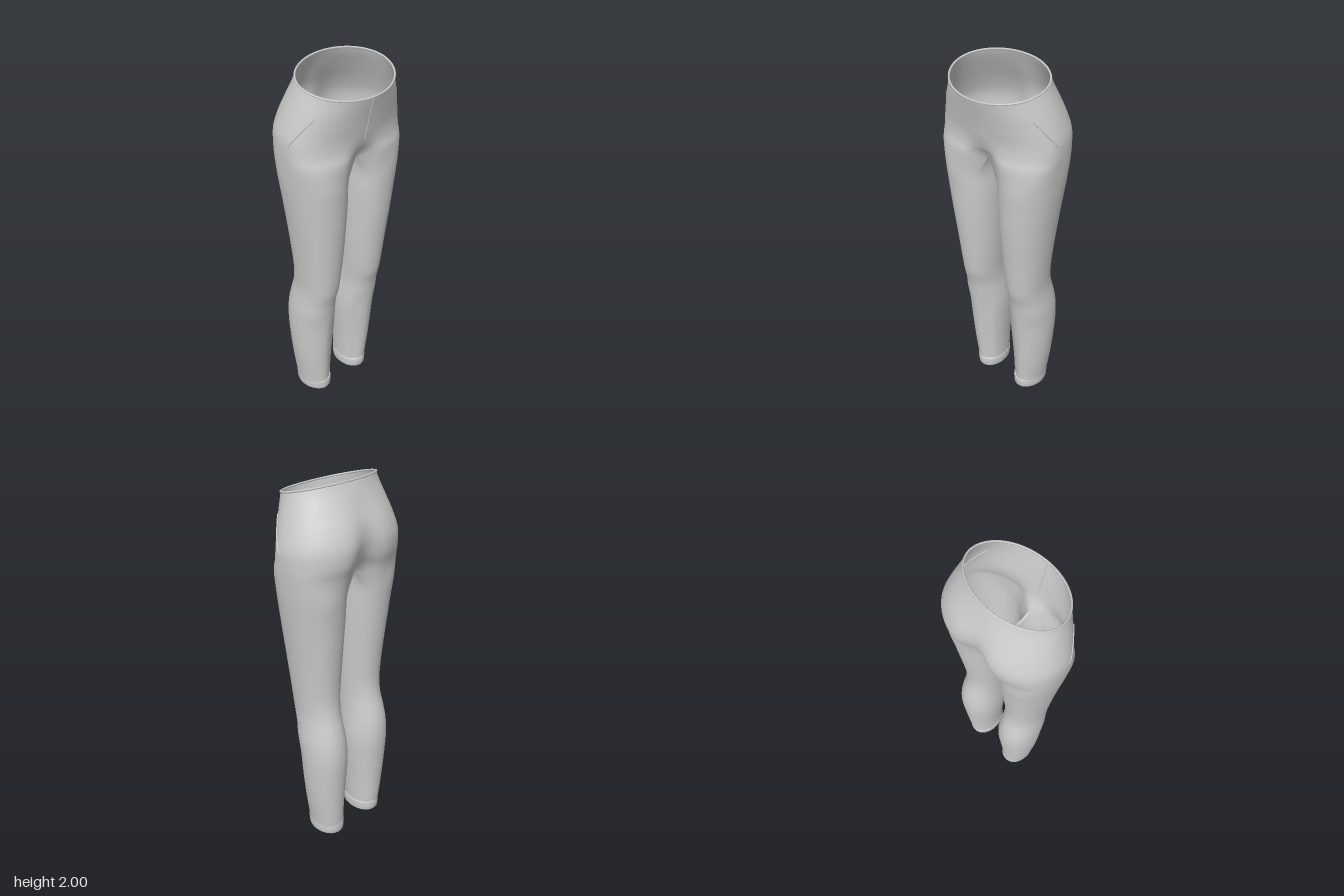
import * as THREE from 'three';
import { mergeVertices, mergeGeometries } from 'three/addons/utils/BufferGeometryUtils.js';

const material = new THREE.MeshStandardMaterial({ color: 0xcccccc, side: THREE.DoubleSide });
const OUTER = 40, INNER = 16, STEPS = 4; // columns outside, columns inside the leg, rows per section

// Leg sections: height, inner x, outer x, front z, back z
const LEG = [
  [0.01, 0.062, 0.22, 0.038, -0.177], [0.08, 0.06, 0.228, 0.042, -0.183],
  [0.22, 0.054, 0.246, 0.052, -0.19], [0.38, 0.042, 0.26, 0.064, -0.199],
  [0.52, 0.035, 0.266, 0.077, -0.205], [0.62, 0.04, 0.264, 0.088, -0.197],
  [0.70, 0.046, 0.256, 0.1, -0.18], [0.78, 0.046, 0.25, 0.121, -0.158],
  [0.87, 0.04, 0.254, 0.133, -0.146], [1.0, 0.03, 0.265, 0.146, -0.15],
  [1.2, 0.019, 0.286, 0.165, -0.165], [1.35, 0.011, 0.304, 0.174, -0.176],
  [1.46, 0.007, 0.317, 0.179, -0.186],
];

// Hip sections: front y, back y, half width, front z, back z, widest z, front dip, back cleft, squareness
const HIP = [
  [1.58, 1.57, 0.325, 0.19, -0.208, 0, 0.06, 0.07, 2.7],
  [1.63, 1.64, 0.328, 0.182, -0.232, 0, 0.02, 0.055, 2.4],
  [1.69, 1.72, 0.326, 0.182, -0.238, 0, 0, 0.038, 2.25],
  [1.76, 1.80, 0.307, 0.196, -0.217, 0.01, 0, 0.02, 2.15],
  [1.83, 1.89, 0.28, 0.212, -0.174, 0.025, 0, 0.006, 2.1],
  [1.88, 1.96, 0.259, 0.225, -0.143, 0.035, 0, 0, 2],
  [1.898, 1.995, 0.25, 0.229, -0.13, 0.04, 0, 0, 2],
];

const lerp = THREE.MathUtils.lerp;
const power = (v, n) => Math.sign(v) * Math.abs(v) ** (2 / n);

function legPoint([y, xi, xo, zf, zb], a) {
  const cz = (zf + zb) / 2, rz = (zf - zb) / 2;
  const n = a > 0 && a < Math.PI && y < 0.6 ? 1.85 : 2.1;
  return new THREE.Vector3((xi + xo) / 2 + (xo - xi) / 2 * power(Math.cos(a), n), y, cz + rz * power(Math.sin(a), n));
}

function hipPoint([yf, yb, w, zf, zb, c, dip, cleft, n], s) {
  const a = (0.5 - s) * Math.PI, front = a > 0;
  const x = s === 0 || s === 1 ? 0 : w * power(Math.cos(a), n);
  let z = c + (front ? zf - c : c - zb) * power(Math.sin(a), n);
  const y = lerp(yb, yf, (z - zb) / (zf - zb));
  if (front) z -= dip * Math.exp(-((x / 0.07) ** 2));
  else z += cleft * Math.exp(-((x / 0.075) ** 2));
  return new THREE.Vector3(x, y, z);
}

// Lengthwise curve from ankle to waist, s running front - outside - back
const SPREAD = 2.27;
const outerCurve = s => new THREE.CatmullRomCurve3([
  ...LEG.map(r => legPoint(r, lerp(SPREAD, -SPREAD, s))), ...HIP.map(r => hipPoint(r, s))]);

// Lengthwise curve on the inside of the leg, ending on the crotch seam
function innerCurve(s) {
  const top = hipPoint(HIP[0], 1).lerp(hipPoint(HIP[0], 0), s);
  top.y -= 0.02 * Math.sin(Math.PI * s);
  return new THREE.CatmullRomCurve3([
    ...LEG.map(r => legPoint(r, lerp(-SPREAD, SPREAD - 2 * Math.PI, s))), top]);
}

// Skin a list of columns of points; rows of a shorter column stop early
function skin(columns, closed, flip) {
  const pos = [], index = [], start = [];
  for (const col of columns) {
    start.push(pos.length / 3);
    for (const p of col) pos.push(flip ? -p.x : p.x, p.y, p.z);
  }
  const count = columns.length;
  for (let j = 0; j < (closed ? count : count - 1); j++) {
    const k = (j + 1) % count;
    const rows = Math.min(columns[j].length, columns[k].length) - 1;
    for (let r = 0; r < rows; r++) {
      const a = start[j] + r, b = start[k] + r, c = b + 1, d = a + 1;
      if (flip) index.push(a, c, b, a, d, c);
      else index.push(a, b, c, a, c, d);
    }
  }
  const g = new THREE.BufferGeometry();
  g.setAttribute('position', new THREE.Float32BufferAttribute(pos, 3));
  g.setIndex(index);
  return g;
}

function add(group, geometry, name) {
  const mesh = new THREE.Mesh(geometry, material);
  mesh.name = name;
  group.add(mesh);
}

const tube = (points, radius, closed = false) =>
  new THREE.TubeGeometry(new THREE.CatmullRomCurve3(points, closed), closed ? 96 : 20, radius, 6, closed);

export function createModel() {
  const group = new THREE.Group();
  group.name = 'trousers';
  const last = LEG.length + HIP.length - 1;
  const sample = curve => curve.getPoints((curve.points.length - 1) * STEPS)
    .map(p => p.setX(Math.max(0, p.x)));

  // Trouser body: both halves welded along the centre seam
  const columns = [];
  for (let j = 0; j <= OUTER; j++) columns.push(sample(outerCurve(j / OUTER)));
  for (let j = 1; j < INNER; j++) columns.push(sample(innerCurve(j / INNER)));
  const halves = [];
  for (const flip of [false, true]) {
    // outer shell is open at the centre, the inner thigh closes it below the crotch
    halves.push(skin(columns, true, flip));
  }
  // drop the faces that would bridge front and back: inner columns are short, so none exist above the crotch
  const body = mergeVertices(mergeGeometries(halves), 1e-5);
  body.computeVertexNormals();
  add(group, body, 'trouserBody');

  // Rolled edge round the waist
  const rim = [];
  for (let j = 0; j < 24; j++) rim.push(hipPoint(HIP[HIP.length - 1], j / 24));
  for (let j = 24; j > 0; j--) rim.push(hipPoint(HIP[HIP.length - 1], j / 24).multiply(new THREE.Vector3(-1, 1, 1)));
  add(group, tube(rim, 0.005, true), 'waistEdge');

  // Fly seam down the centre front
  const fly = outerCurve(0);
  const flyPoints = [];
  for (let i = 0; i <= 8; i++) flyPoints.push(fly.getPoint(lerp(LEG.length + 1.6, last, i / 8) / last));
  add(group, tube(flyPoints, 0.003), 'flySeam');

  for (const side of [1, -1]) {
    const label = side > 0 ? 'left' : 'right';
    const mirror = p => p.multiply(new THREE.Vector3(side, 1, 1));

    // Slanted pocket edge lying on the hip
    const pocket = [];
    for (let i = 0; i <= 6; i++) {
      const t = i / 6;
      pocket.push(mirror(outerCurve(lerp(0.33, 0.46, t)).getPoint((LEG.length + lerp(3.8, 1.8, t)) / last)));
    }
    add(group, tube(pocket, 0.004), label + 'PocketEdge');

    // Turned-up cuff: scale of the ankle section and height
    const profile = [[0.93, 0.045], [0.94, 0.004], [0.99, 0], [1.04, 0.004], [1.06, 0.03], [1.06, 0.055], [1.04, 0.063], [0.98, 0.063]];
    const centre = new THREE.Vector3(0.142, 0, -0.07);
    const cuffColumns = [];
    for (let j = 0; j < 40; j++) {
      const p = legPoint(LEG[0], -j / 40 * Math.PI * 2 + Math.PI / 2);
      cuffColumns.push(profile.map(([k, y]) => p.clone().sub(centre).multiplyScalar(k).add(centre).setY(y)));
    }
    const cuff = skin(cuffColumns, true, side < 0);
    cuff.computeVertexNormals();
    add(group, cuff, label + 'Cuff');
  }
  return group;
}
